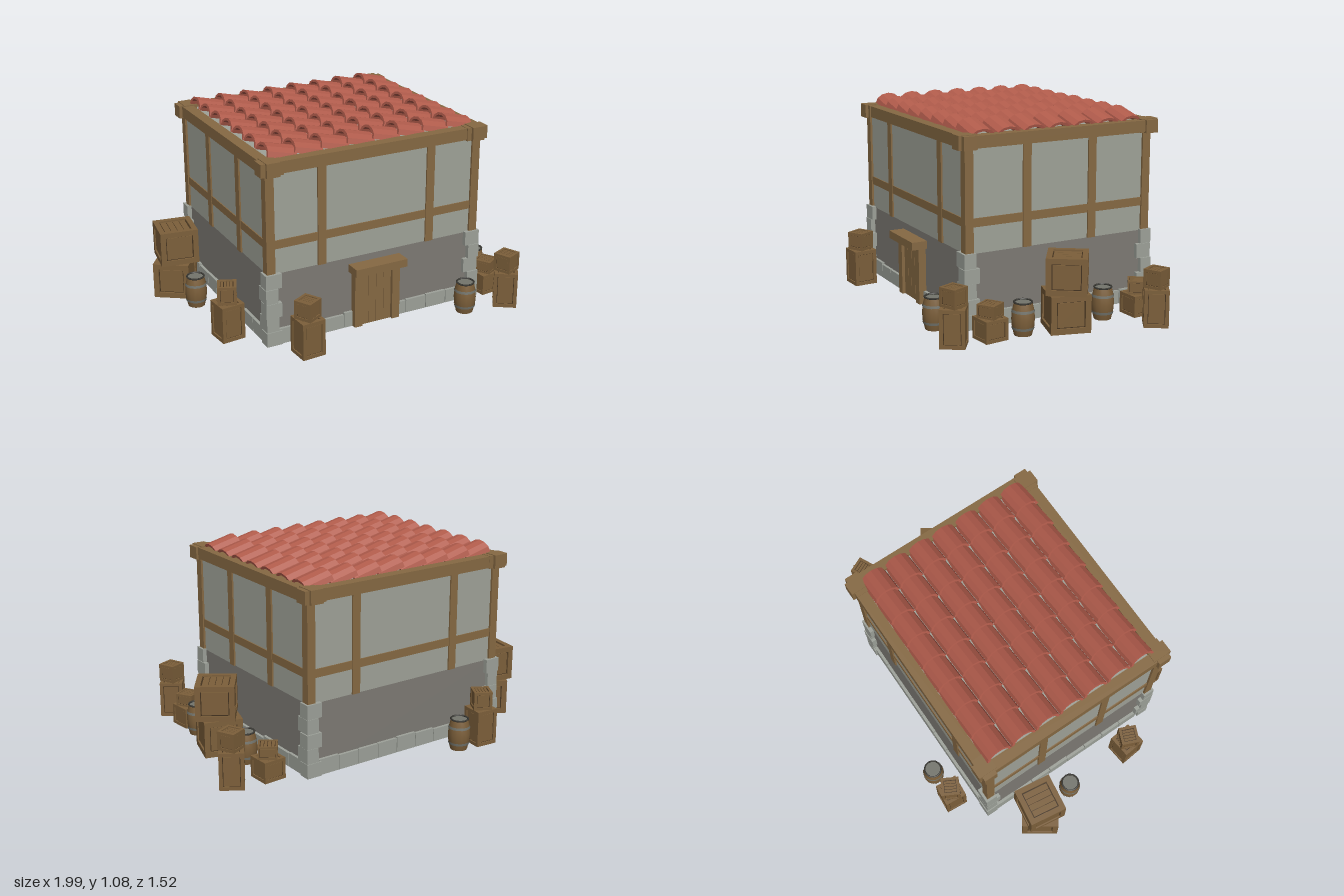
import * as THREE from 'three';

const mat = (name, color) => Object.assign(new THREE.MeshStandardMaterial({ color }), { name });
const M = {
  plaster: mat('plaster', 0x9fa298),
  wall: mat('dark stone wall', 0x7d7a74),
  stone: mat('pale stone', 0x9da199),
  timber: mat('timber', 0x866943),
  crate: mat('crate wood', 0x7c5f3a),
  gap: mat('dark wood gap', 0x41301d),
  tile: mat('roof tile', 0xb05b4b),
  iron: mat('barrel iron', 0x73746c),
  rim: mat('barrel rim', 0x3c3b36),
  floor: mat('floor', 0x55564f),
};

let seed = 7;
const rand = () => (seed = (seed * 16807) % 2147483647) / 2147483647;

function add(parent, name, geo, material, x = 0, y = 0, z = 0) {
  const m = new THREE.Mesh(geo, material);
  m.name = name;
  m.position.set(x, y, z);
  parent.add(m);
  return m;
}
// Box given by its minimum and maximum on each axis
function span(parent, name, material, x0, x1, y0, y1, z0, z1) {
  return add(parent, name, new THREE.BoxGeometry(x1 - x0, y1 - y0, z1 - z0), material,
    (x0 + x1) / 2, (y0 + y1) / 2, (z0 + z1) / 2);
}
function group(parent, name) {
  const g = new THREE.Group();
  g.name = name;
  parent.add(g);
  return g;
}

// Outer faces of the timber frame
const X0 = -0.69, X1 = 0.565, Z0 = -0.573, Z1 = 0.535, IN = 0.012;

function buildWalls(house) {
  span(house, 'lowerWall', M.wall, X0 + IN, X1 - IN, 0.025, 0.412, Z0 + IN, Z1 - IN);
  span(house, 'upperWall', M.plaster, X0 + IN, X1 - IN, 0.412, 1.0, Z0 + IN, Z1 - IN);
  span(house, 'floor', M.floor, X0 + IN, X1 - IN, 0.02, 0.025, Z0 + IN, Z1 - IN);
}

function buildTimber(house) {
  const g = group(house, 'timberFrame'), t = 0.047;
  // Corner posts
  for (const x of [X0, X1 - t]) for (const z of [Z0, Z1 - t])
    span(g, 'cornerPost', M.timber, x, x + t, 0.4, 0.96, z, z + t);
  // Middle posts
  for (const x of [-0.4, 0.24]) for (const z of [Z0 + 0.003, Z1 - 0.023])
    span(g, 'middlePost', M.timber, x, x + t, 0.412, 0.96, z, z + 0.02);
  for (const z of [0.155, -0.235]) for (const x of [X0 + 0.003, X1 - 0.023])
    span(g, 'middlePost', M.timber, x, x + 0.02, 0.412, 0.96, z, z + t);
  // Rails
  for (const z of [Z0 + 0.006, Z1 - 0.026])
    span(g, 'rail', M.timber, X0 + t, X1 - t, 0.55, 0.595, z, z + 0.02);
  for (const x of [X0 + 0.006, X1 - 0.026])
    span(g, 'rail', M.timber, x, x + 0.02, 0.55, 0.595, Z0 + t, Z1 - t);
  // Top beams with crossed corner ends
  for (const z of [-0.598, 0.488]) span(g, 'topBeam', M.timber, -0.7, 0.58, 0.952, 1.015, z, z + 0.06);
  for (const x of [-0.703, 0.523]) span(g, 'topBeam', M.timber, x, x + 0.06, 0.952, 1.015, -0.59, 0.54);
  for (const sx of [-1, 1]) for (const sz of [-1, 1]) {
    const cx = -0.0625 + sx * 0.595, cz = -0.0225 + sz * 0.54;
    add(g, 'beamEnd', new THREE.BoxGeometry(0.073, 0.075, 0.105), M.timber, cx, 0.983, cz);
    add(g, 'beamEnd', new THREE.BoxGeometry(0.125, 0.07, 0.073), M.timber, cx, 0.982, cz);
  }
}

function buildStones(house) {
  const g = group(house, 'stonework');
  // Corner stones, long side alternating
  for (const sx of [-1, 1]) for (const sz of [-1, 1]) for (let i = 0; i < 5; i++) {
    const a = i % 2 ? 0.068 : 0.088, b = i % 2 ? 0.088 : 0.066;
    const out = rand() * 0.008, x = sx < 0 ? X0 - 0.008 - out : X1 + 0.008 + out;
    const z = sz < 0 ? Z0 - 0.008 - out : Z1 + 0.008 + out;
    add(g, 'cornerStone', new THREE.BoxGeometry(a, 0.078, b), M.stone,
      x - sx * a / 2, 0.06 + i * 0.08, z - sz * b / 2);
  }
  // Footing stones along each wall
  const row = (from, to, place) => {
    const n = Math.round((to - from) / 0.12), w = (to - from) / n;
    for (let i = 0; i < n; i++) place(from + i * w, from + (i + 1) * w - 0.004, 0.09 + rand() * 0.018);
  };
  for (const z of [Z0 - 0.004, Z1 - 0.022]) row(X0 + 0.06, X1 - 0.06, (a, b, h) =>
    span(g, 'footingStone', M.stone, a, b, 0.02, h, z, z + 0.026));
  for (const x of [X0 - 0.004, X1 - 0.022]) row(Z0 + 0.06, Z1 - 0.06, (a, b, h) =>
    span(g, 'footingStone', M.stone, x, x + 0.026, 0.02, h, a, b));
}

function buildDoor(house) {
  const g = group(house, 'door');
  span(g, 'lintel', M.timber, -0.22, 0.085, 0.332, 0.375, 0.5, 0.61);
  for (const x of [-0.203, 0.022]) span(g, 'jamb', M.timber, x, x + 0.045, 0.02, 0.332, 0.5, 0.565);
  span(g, 'doorGap', M.gap, -0.16, 0.024, 0.02, 0.332, 0.5, 0.542);
  for (let i = 0; i < 4; i++)
    span(g, 'doorPlank', M.timber, -0.157 + i * 0.045, -0.114 + i * 0.045, 0.02, 0.332, 0.5, 0.548);
}

function buildRoof(house) {
  const g = group(house, 'roofTiles');
  // Hollow arch cross-section
  const arc = (rx, ry) => Array.from({ length: 7 }, (_, i) =>
    new THREE.Vector2(rx * Math.cos(i * Math.PI / 6), ry * Math.sin(i * Math.PI / 6)));
  const shape = new THREE.Shape([...arc(0.073, 0.054), ...arc(0.058, 0.04).reverse()]);
  const geo = new THREE.ExtrudeGeometry(shape, { depth: 0.16, bevelEnabled: false });
  geo.rotateY(Math.PI / 2);
  for (let r = 0; r < 7; r++) for (let c = 0; c < 8; c++) {
    const t = add(g, 'tile', geo, M.tile, -0.652 + c * 0.1475, 1.024 + rand() * 0.005, 0.42 - r * 0.1475);
    t.rotation.z = -0.24;
  }
}

// Framed crate: dark core, raised panels and twelve edge bars
function crate(parent, x, y, z, w, h, turn) {
  const g = group(parent, 'crate');
  g.position.set(x, y + h / 2, z);
  g.rotation.y = turn;
  const b = Math.min(w, h) * 0.15, box = (...s) => new THREE.BoxGeometry(...s);
  add(g, 'core', box(w - b * 0.75, h - b * 0.75, w - b * 0.75), M.gap);
  const pw = w - 2.35 * b, ph = h - 2.35 * b, d = b * 0.45;
  add(g, 'sidePanel', box(w - d, ph, pw), M.crate);
  add(g, 'endPanel', box(pw, ph, w - d), M.crate);
  for (let i = 0; i < 4; i++)
    add(g, 'lidSlat', box(pw / 4 - 0.003, h - d, pw), M.crate, (i - 1.5) * pw / 4);
  const e = (w - b) / 2, f = (h - b) / 2, k = w - 2 * b;
  for (const s of [-1, 1]) for (const t of [-1, 1]) {
    add(g, 'upright', box(b, h, b), M.crate, s * e, 0, t * e);
    add(g, 'edgeBar', box(k, b, b), M.crate, 0, s * f, t * e);
    add(g, 'edgeBar', box(b, b, k), M.crate, s * e, t * f, 0);
  }
}

function barrel(parent, x, z) {
  const g = group(parent, 'barrel');
  g.position.set(x, 0.01, z);
  const H = 0.172, radius = (y) => 0.06 - 0.014 * (2 * y / H - 1) ** 2;
  const ring = (name, m, y0, y1, grow) => {
    const n = 4, pts = [];
    for (let i = 0; i <= n; i++) {
      const y = y0 + (y1 - y0) * i / n;
      pts.push(new THREE.Vector2(radius(y) + grow, y));
    }
    add(g, name, new THREE.LatheGeometry(pts, 14), m);
  };
  ring('staves', M.crate, 0, H, 0);
  for (const y of [0.032, 0.122]) ring('hoop', M.iron, y, y + 0.014, 0.002);
  add(g, 'lid', new THREE.CylinderGeometry(0.045, 0.045, 0.004, 14), M.iron, 0, H - 0.005, 0);
  add(g, 'base', new THREE.CylinderGeometry(0.046, 0.046, 0.004, 14), M.iron, 0, 0.002, 0);
  const lip = add(g, 'rim', new THREE.TorusGeometry(0.0465, 0.005, 5, 14), M.rim, 0, H, 0);
  lip.rotation.x = Math.PI / 2;
}

export function createModel() {
  const root = new THREE.Group();
  root.name = 'storehouse';
  const house = group(root, 'house');
  [buildWalls, buildTimber, buildStones, buildDoor, buildRoof].forEach((build) => build(house));

  // Crate stacks: x, z, lower width, lower height, lower turn, upper width, upper height, upper turn
  const stacks = [
    [-0.49, -0.69, 0.125, 0.2, -0.08, 0.1, 0.1, -0.5],
    [-0.815, 0.305, 0.13, 0.2, 0.1, 0.1, 0.1, -0.4],
    [-0.527, 0.66, 0.13, 0.2, 0.06, 0.1, 0.1, 0.5],
    [0.687, 0.663, 0.128, 0.2, -0.6, 0.1, 0.1, 0.4],
    [0.69, 0.463, 0.13, 0.115, 0.1, 0.1, 0.07, 0.55],
    [0.705, -0.412, 0.128, 0.115, 0.06, 0.1, 0.07, -0.6],
    [0.905, -0.39, 0.128, 0.2, -0.55, 0.1, 0.1, 0.45],
    [-0.862, -0.335, 0.2, 0.2, -0.6, 0.21, 0.195, -0.14],
    [0.728, 0.045, 0.21, 0.2, -0.28, 0.21, 0.195, -0.6],
  ];
  const crates = group(root, 'crates');
  for (const [x, z, w, h, a, w2, h2, a2] of stacks) {
    crate(crates, x, 0.004, z, w, h, a);
    crate(crates, x + (w > 0.15 ? 0.012 : 0), 0.006 + h, z, w2, h2, a2);
  }

  const barrels = group(root, 'barrels');
  for (const [x, z] of [[-0.325, -0.705], [-0.83, -0.105], [0.43, 0.65], [0.725, 0.295], [0.705, -0.195]])
    barrel(barrels, x, z);
  return root;
}
